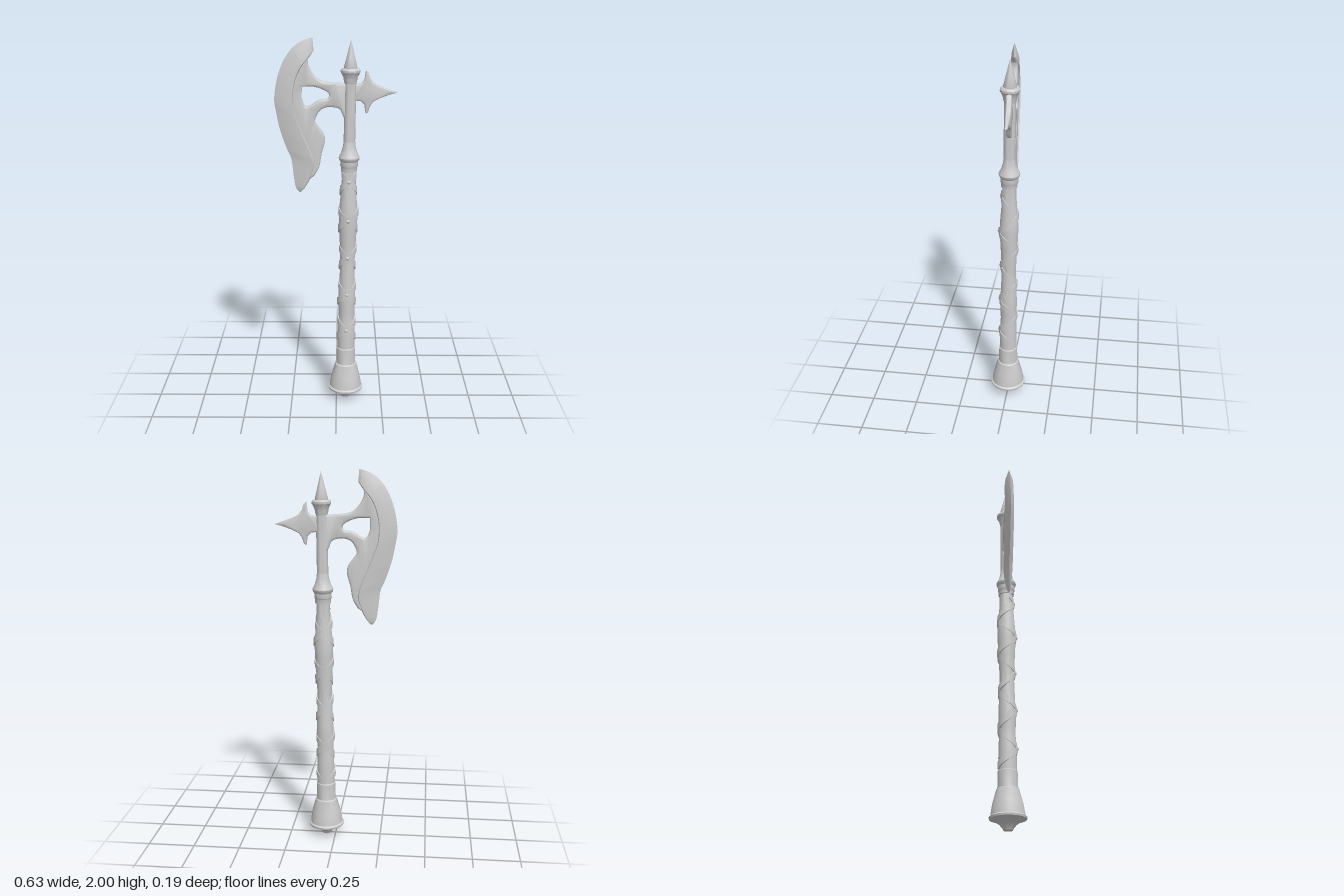
import * as THREE from 'three';
import { toCreasedNormals } from 'three/addons/utils/BufferGeometryUtils.js';

const material = new THREE.MeshStandardMaterial({ color: 0xcccccc });

function addMesh(parent, name, geometry, crease = 0.55) {
  const mesh = new THREE.Mesh(toCreasedNormals(geometry, crease), material);
  mesh.name = name;
  parent.add(mesh);
  return mesh;
}

const vectors = (points) => points.map(([x, y]) => new THREE.Vector2(x, y));
const spline = (points, n) => new THREE.SplineCurve(vectors(points)).getSpacedPoints(n);
const lathe = (profile, sides = 24) => new THREE.LatheGeometry(vectors(profile), sides);

// Skin over a row of closed cross-sections
function loft(rings) {
  const m = rings[0].length;
  const index = [];
  for (let i = 0; i < rings.length - 1; i++) {
    for (let j = 0; j < m; j++) {
      const k = (j + 1) % m;
      const a = i * m + j, b = (i + 1) * m + j, c = (i + 1) * m + k, d = i * m + k;
      index.push(a, b, c, a, c, d);
    }
  }
  const geometry = new THREE.BufferGeometry();
  geometry.setAttribute('position', new THREE.Float32BufferAttribute(rings.flat(2), 3));
  geometry.setIndex(index);
  return geometry;
}

// Flat plate centred on z = 0 with rounded edges
function plate(shape, half, bevel) {
  const geometry = new THREE.ExtrudeGeometry(shape, {
    depth: 2 * half - 2 * bevel, bevelThickness: bevel, bevelSize: bevel,
    bevelOffset: -bevel, bevelSegments: 3, curveSegments: 1,
  });
  return geometry.translate(0, 0, bevel - half);
}

// Radius and height along the uneven wooden grip
const gripProfile = [
  [0.047, 0.29], [0.047, 0.40], [0.043, 0.50], [0.046, 0.60], [0.042, 0.70],
  [0.039, 0.80], [0.042, 0.90], [0.047, 1.00], [0.049, 1.08], [0.042, 1.18],
  [0.037, 1.26], [0.036, 1.33],
];

function gripRadius(y) {
  let i = 0;
  while (i < gripProfile.length - 2 && gripProfile[i + 1][1] < y) i++;
  const [r0, y0] = gripProfile[i];
  const [r1, y1] = gripProfile[i + 1];
  return THREE.MathUtils.lerp(r0, r1, THREE.MathUtils.clamp((y - y0) / (y1 - y0), 0, 1));
}

const pitch = 0.21, firstCrossing = 0.42;

// Leather strap winding around the grip, dir gives the hand of the helix
function strap(dir) {
  const rings = [];
  const lift = dir > 0 ? 0.007 : 0.0045;
  for (let i = 0; i <= 150; i++) {
    const y = 0.325 + (i / 150) * 0.975;
    const angle = (dir * (y - firstCrossing) / pitch) * Math.PI * 2;
    const corner = (dy, out) => {
      const r = gripRadius(y + dy) + out;
      return [Math.sin(angle) * r, y + dy, Math.cos(angle) * r];
    };
    const ring = [corner(-0.019, lift), corner(0.019, lift), corner(0.019, -0.006), corner(-0.019, -0.006)];
    rings.push(dir > 0 ? ring : ring.reverse());
  }
  return loft(rings);
}

function createHaft() {
  const haft = new THREE.Group();
  haft.name = 'haft';
  addMesh(haft, 'pommel', lathe([
    [0, 0], [0.024, 0], [0.03, 0.012], [0.045, 0.03], [0.075, 0.05], [0.095, 0.055],
    [0.097, 0.065], [0.088, 0.072], [0.086, 0.09], [0.078, 0.135], [0.059, 0.205],
    [0.053, 0.21], [0.051, 0.3], [0.045, 0.306], [0, 0.306],
  ]));
  addMesh(haft, 'grip', lathe(spline(gripProfile, 50).map((p) => [p.x, p.y])), 1);
  for (const dir of [1, -1]) addMesh(haft, 'strap', strap(dir), 0.7);

  // Rivets where the straps cross at the front
  for (let i = 0; i < 5; i++) {
    const y = firstCrossing + i * pitch;
    const rivet = addMesh(haft, 'rivet', new THREE.SphereGeometry(0.01, 12, 8), 1);
    rivet.position.set(0, y, gripRadius(y) + 0.006);
    rivet.scale.z = 0.6;
  }

  addMesh(haft, 'ferrule', lathe([
    [0.03, 1.31], [0.042, 1.312], [0.043, 1.335], [0.046, 1.34], [0.046, 1.365],
    [0.053, 1.375], [0.055, 1.385], [0.052, 1.393], [0.043, 1.41], [0.034, 1.44], [0.03, 1.47],
  ]));
  addMesh(haft, 'shaft', new THREE.CylinderGeometry(0.03, 0.03, 0.36, 24).translate(0, 1.635, 0));
  addMesh(haft, 'topCollar', lathe([
    [0.029, 1.765], [0.034, 1.785], [0.036, 1.8], [0.046, 1.82], [0.05, 1.826],
    [0.05, 1.837], [0.043, 1.846], [0, 1.848],
  ]));
  addMesh(haft, 'topSpike', lathe([
    [0.032, 1.84], [0.034, 1.85], [0.022, 1.9], [0.011, 1.945], [0, 1.988],
  ]));

  // Slight lean of the whole haft
  haft.position.x = 0.05;
  haft.rotation.set(-0.008, 0, -0.012);
  return haft;
}

// Curved blade: sharp outer edge, bevel, raised flat and a step along the inner ridge
function bladeGeometry() {
  const n = 60;
  const edge = spline([
    [-0.12, 2.0], [-0.18, 1.98], [-0.23, 1.94], [-0.27, 1.88], [-0.3, 1.8], [-0.317, 1.7],
    [-0.31, 1.63], [-0.29, 1.53], [-0.26, 1.44], [-0.235, 1.38], [-0.225, 1.3],
    [-0.215, 1.23], [-0.195, 1.198],
  ], n);
  const ridge = spline([
    [-0.115, 1.935], [-0.14, 1.9], [-0.19, 1.83], [-0.215, 1.75], [-0.22, 1.685],
    [-0.21, 1.615], [-0.17, 1.51], [-0.13, 1.415], [-0.115, 1.36], [-0.12, 1.315],
    [-0.155, 1.24], [-0.185, 1.2],
  ], n);
  return loft(edge.map((e, i) => {
    const t = i / n;
    const taper = Math.sqrt(Math.min(1, t / 0.12, (1 - t) / 0.25));
    const at = (s, h) => [
      THREE.MathUtils.lerp(e.x, ridge[i].x, s), THREE.MathUtils.lerp(e.y, ridge[i].y, s), h * taper,
    ];
    const front = [at(0.45, 0.02), at(0.93, 0.025), at(1, 0.012)];
    const back = front.map(([x, y, z]) => [x, y, -z]).reverse();
    return [at(0, 0), ...front, ...back];
  }));
}

function createHead() {
  const head = new THREE.Group();
  head.name = 'axeHead';
  addMesh(head, 'blade', bladeGeometry(), 0.5);

  // Arms joining blade and shaft, with the opening between them
  const arms = new THREE.Shape([
    ...spline([
      [0.06, 1.77], [-0.03, 1.775], [-0.09, 1.79], [-0.13, 1.835], [-0.145, 1.875], [-0.14, 1.905],
    ], 16),
    ...spline([
      [-0.175, 1.87], [-0.22, 1.79], [-0.235, 1.7], [-0.225, 1.605], [-0.19, 1.5],
      [-0.15, 1.4], [-0.135, 1.33], [-0.14, 1.27],
    ], 20),
    ...spline([
      [-0.115, 1.29], [-0.09, 1.335], [-0.077, 1.405], [-0.06, 1.47], [-0.065, 1.51],
      [-0.09, 1.545], [-0.11, 1.575], [-0.1, 1.61], [-0.075, 1.64], [-0.035, 1.65],
      [0.015, 1.64], [0.035, 1.6], [0.06, 1.56],
    ], 40),
  ]);
  arms.holes.push(new THREE.Path(spline([
    [-0.175, 1.755], [-0.12, 1.755], [-0.07, 1.74], [-0.04, 1.72], [-0.04, 1.695],
    [-0.09, 1.685], [-0.13, 1.66], [-0.16, 1.655], [-0.178, 1.7],
  ], 24)));
  addMesh(head, 'bladeArms', plate(arms, 0.017, 0.01), 0.7);

  // Pronged spike behind the shaft, thinning towards its point
  const half = [
    [0.07, 0.045], [0.1, 0.04], [0.125, 0.043], [0.143, 0.06], [0.15, 0.108], [0.162, 0.1],
    [0.172, 0.07], [0.19, 0.045], [0.225, 0.028], [0.27, 0.012],
  ];
  const spikeShape = new THREE.Shape(vectors([
    ...half.map(([x, y]) => [x, 1.725 + y]), [0.314, 1.722],
    ...half.map(([x, y]) => [x, 1.722 - y]).reverse(),
  ]));
  const spike = plate(spikeShape, 0.014, 0.008);
  const p = spike.attributes.position;
  for (let i = 0; i < p.count; i++) {
    p.setZ(i, p.getZ(i) * THREE.MathUtils.clamp(1 - (p.getX(i) - 0.2) * 5, 0.4, 1));
  }
  addMesh(head, 'backSpike', spike, 0.7);

  head.position.z = -0.0135;
  head.rotation.y = 0.044;
  return head;
}

export function createModel() {
  const model = new THREE.Group();
  model.name = 'battleAxe';
  model.add(createHaft(), createHead());
  return model;
}
